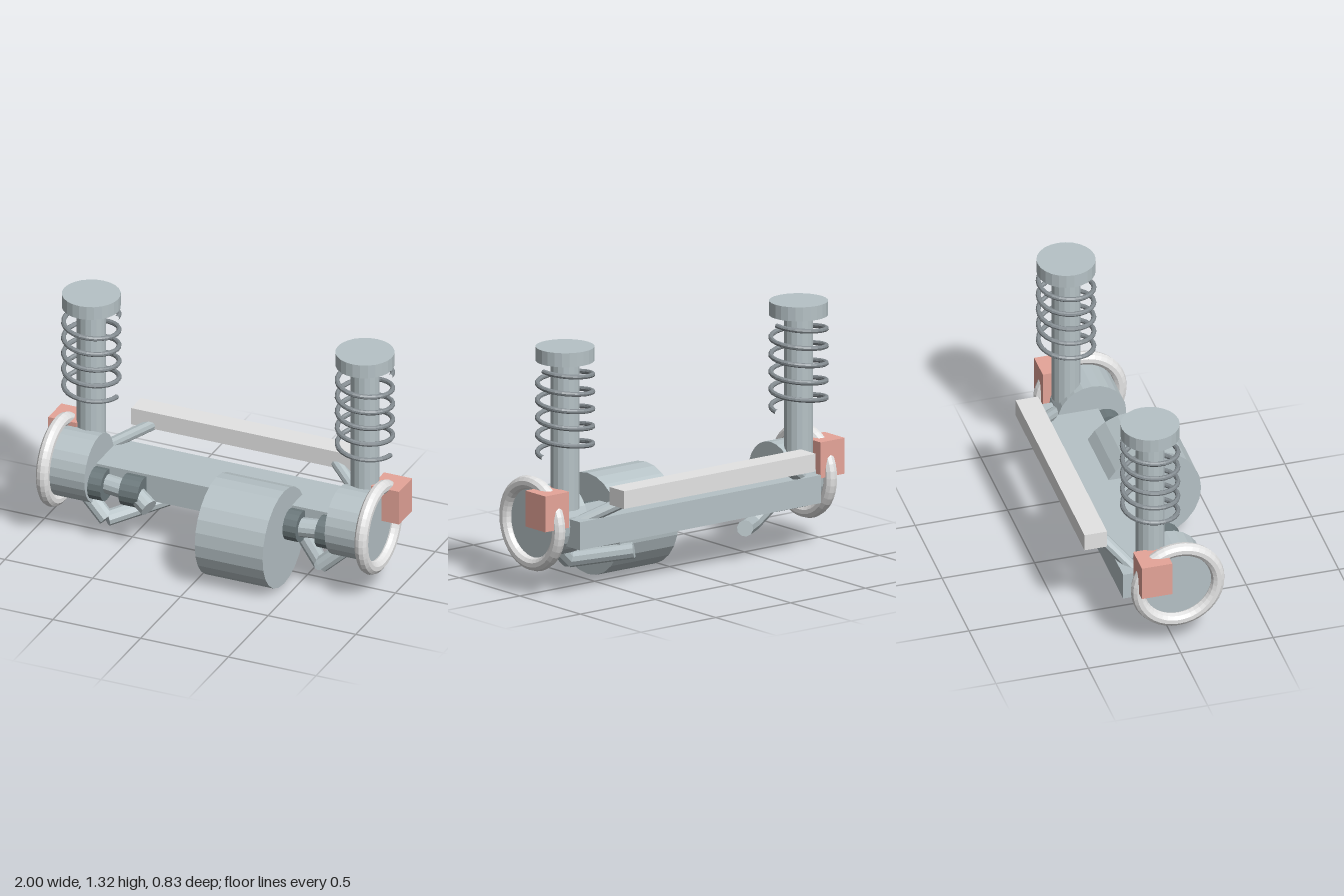
import * as THREE from 'three';

const mat = (name, color) => {
  const m = new THREE.MeshStandardMaterial({ color, flatShading: true });
  m.name = name;
  return m;
};

// Rising coil around the y axis
class Coil extends THREE.Curve {
  constructor(radius, y0, y1, turns) {
    super();
    Object.assign(this, { radius, y0, y1, turns });
  }
  getPoint(t, target = new THREE.Vector3()) {
    const a = t * this.turns * Math.PI * 2;
    return target.set(Math.cos(a) * this.radius, this.y0 + (this.y1 - this.y0) * t, Math.sin(a) * this.radius);
  }
}

export function createModel() {
  const model = new THREE.Group();
  model.name = 'axleAssembly';
  const steel = mat('blueGreySteel', 0xb6c2c6);
  const bright = mat('lightMetal', 0xe4e4e4);
  const dark = mat('springSteel', 0x848c91);
  const rubber = mat('darkBoot', 0x6c797c);
  const red = mat('caliperRed', 0xe6a599);

  const add = (parent, name, geometry, material, x = 0, y = 0, z = 0) => {
    const mesh = new THREE.Mesh(geometry, material);
    mesh.name = name;
    mesh.position.set(x, y, z);
    parent.add(mesh);
    return mesh;
  };
  // Cylinder joining two points
  const rod = (parent, name, a, b, r, material, sides = 10) => {
    const p = new THREE.Vector3(...a), q = new THREE.Vector3(...b);
    const mesh = add(parent, name, new THREE.CylinderGeometry(r, r, p.distanceTo(q), sides), material);
    mesh.position.copy(p).add(q).multiplyScalar(0.5);
    mesh.quaternion.setFromUnitVectors(new THREE.Vector3(0, 1, 0), q.sub(p).normalize());
    return mesh;
  };

  // Central parts
  add(model, 'crossBeam', new THREE.BoxGeometry(1.61, 0.15, 0.3), steel, 0, 0.338, -0.105);
  add(model, 'steeringRack', new THREE.BoxGeometry(1.28, 0.095, 0.122), bright, 0, 0.537, -0.355);
  rod(model, 'motor', [0.043, 0.271, 0.143], [0.43, 0.271, 0.143], 0.271, steel, 24);

  for (const s of [-1, 1]) {
    const side = new THREE.Group();
    side.name = s > 0 ? 'leftSuspension' : 'rightSuspension';
    model.add(side);

    // Strut and spring
    add(side, 'strut', new THREE.CylinderGeometry(0.076, 0.076, 0.8, 16), steel, s * 0.78, 0.856, -0.102);
    add(side, 'topMount', new THREE.CylinderGeometry(0.154, 0.154, 0.075, 24), steel, s * 0.78, 1.285, -0.102);
    add(side, 'spring', new THREE.TubeGeometry(new Coil(0.145, 0.746, 1.209, 5), 120, 0.013, 8), dark, s * 0.78, 0, -0.102);

    // Hub, brake ring and caliper
    rod(side, 'hub', [s * 0.685, 0.372, 0.01], [s * 0.9, 0.372, 0.01], 0.186, steel, 24);
    add(side, 'brakeRing', new THREE.TorusGeometry(0.217, 0.036, 10, 40), bright, s * 0.908, 0.373, 0.01).rotation.y = Math.PI / 2;
    add(side, 'caliper', new THREE.BoxGeometry(0.16, 0.192, 0.165), red, s * 0.92, 0.477, -0.128);

    // Drive shaft with joint boots
    rod(side, 'outerBoot', [s * 0.72, 0.318, 0.075], [s * 0.61, 0.318, 0.075], 0.087, rubber, 16);
    rod(side, 'innerBoot', [s * 0.505, 0.322, 0.08], [s * 0.398, 0.322, 0.08], 0.085, rubber, 16);
    rod(side, 'driveShaft', [s * 0.68, 0.328, 0.065], [s * 0.45, 0.318, 0.09], 0.052, steel, 12);
    rod(side, 'shaftStub', [s * 0.46, 0.328, 0.09], [s * 0.345, 0.27, 0.135], 0.05, steel, 12);

    // Steering link and bent lower arm
    rod(side, 'tieRod', [s * 0.78, 0.372, -0.15], [s * 0.517, 0.51, -0.322], 0.032, steel);
    rod(side, 'lowerArmOuter', [s * 0.735, 0.23, 0.05], [s * 0.612, 0.12, 0.075], 0.044, steel);
    rod(side, 'lowerArmInner', [s * 0.612, 0.122, 0.072], [s * 0.372, 0.178, -0.165], 0.043, steel);
  }
  return model;
}
